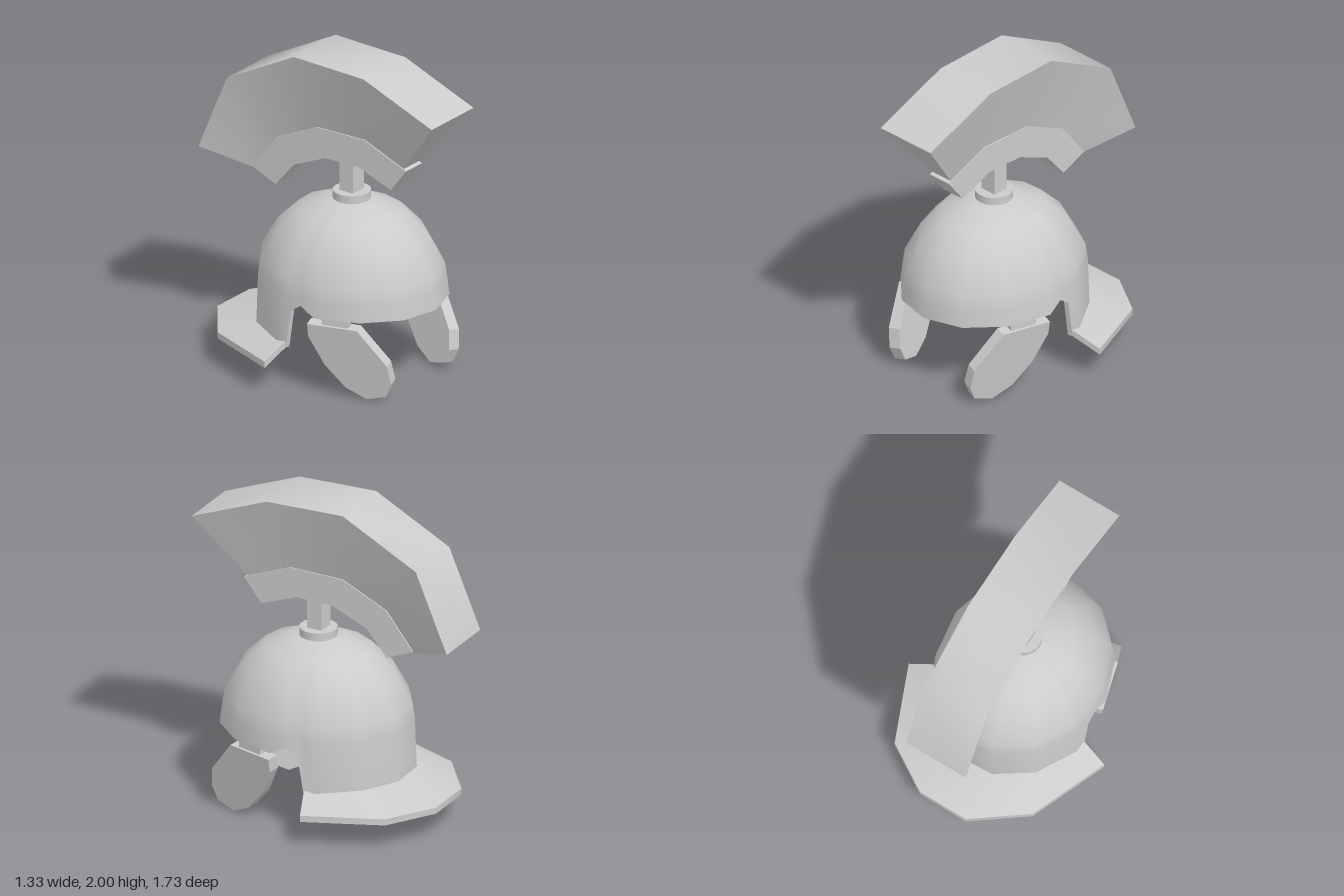
import * as THREE from 'three';
import { toCreasedNormals } from 'three/addons/utils/BufferGeometryUtils.js';

const material = new THREE.MeshStandardMaterial({ color: 0xcccccc });
const SIDES = 13, CZ = 0.12;

// Skins a row of equal cross-section loops; joins the ends (ring) or caps them.
function loft(sections, ring = false) {
  const n = sections[0].length, m = sections.length;
  const pts = sections.flat(), index = [];
  for (let i = 0; i < (ring ? m : m - 1); i++) {
    for (let j = 0; j < n; j++) {
      const a = i * n + j, b = i * n + (j + 1) % n;
      const c = ((i + 1) % m) * n + (j + 1) % n, d = ((i + 1) % m) * n + j;
      index.push(a, b, c, a, c, d);
    }
  }
  if (!ring) {
    const e = (m - 1) * n;
    for (let j = 1; j < n - 1; j++) index.push(0, j + 1, j, e, e + j, e + j + 1);
  }
  // Turn the faces outward if the enclosed volume comes out negative
  let volume = 0;
  const v = pts.map(p => new THREE.Vector3(...p));
  for (let i = 0; i < index.length; i += 3) {
    volume += v[index[i]].dot(v[index[i + 1]].clone().cross(v[index[i + 2]]));
  }
  if (volume < 0) index.reverse();
  const g = new THREE.BufferGeometry();
  g.setAttribute('position', new THREE.Float32BufferAttribute(pts.flat(), 3));
  g.setIndex(index);
  return toCreasedNormals(g, 0.72);
}

// Point on the 13-sided oval plan; k may lie between two corners.
function plan(k) {
  const corner = i => {
    const a = 0.08 + i * Math.PI * 2 / SIDES;
    return [0.525 * Math.cos(a), 0.61 * Math.sin(a)];
  };
  const i = Math.floor(k), t = k - i, p = corner(i), q = corner(i + 1);
  return [p[0] + (q[0] - p[0]) * t, p[1] + (q[1] - p[1]) * t];
}

function createDome() {
  // Columns around the bowl: [plan position, height of the lower edge]
  const columns = [];
  for (let k = 0; k <= 6; k++) columns.push([k, 0.51]);
  columns.push([6.36, 0.56], [6.61, 0.51], [6.75, 0.26]);
  for (let k = 7; k <= 12; k++) columns.push([k, 0.26]);
  columns.push([12.25, 0.26], [12.39, 0.51], [12.64, 0.56]);
  const rows = [[0.61, 0.98], [0.71, 0.955], [0.89, 0.785], [1.02, 0.565], [1.09, 0.27], [1.11, 0.001]];
  const sections = columns.map(([k, base]) => {
    const [x, z] = plan(k);
    const at = (y, f) => [x * f, y, CZ + z * f];
    const foot = base > 0.52 ? 0.99 : 1;
    const outer = [[base, foot], ...rows].map(([y, f]) => at(y, f));
    const inner = rows.map(([y, f]) => at(y - 0.03 * (1 - f), f * 0.94)).reverse();
    return [...outer, ...inner, at(base, foot * 0.94)];
  });
  return loft(sections, true);
}

function createNeckGuard() {
  const inner = [6.75, 8, 9, 10, 11, 12.25];
  const outer = [[-0.665, -0.035], [-0.47, -0.525], [-0.15, -0.765], [0.17, -0.765], [0.465, -0.58], [0.66, -0.11]];
  return loft(outer.map(([ox, oz], i) => {
    const [x, z] = plan(inner[i]);
    return [[x, 0.3, CZ + z], [ox, 0.215, oz], [ox, 0.175, oz], [x, 0.26, CZ + z]];
  }));
}

// Arched band in the z-y plane with its own half width above and below
function arch(top, bottom, wTop, wBottom) {
  return loft(top.map(([z, y], i) => {
    const [bz, by] = bottom[i];
    return [[wTop, y, z], [-wTop, y, z], [-wBottom, by, bz], [wBottom, by, bz]];
  }));
}

// Leaning plate whose front and lower edges turn inward
function createCheekGuard(side) {
  const outline = [[0.48, 0.465], [0.175, 0.465], [0.175, 0.38], [0.26, 0.2], [0.375, 0.065],
    [0.5, 0.005], [0.62, 0.04], [0.66, 0.13], [0.645, 0.25]];
  const shape = new THREE.Shape(outline.map(p => new THREE.Vector2(...p)));
  const g = new THREE.ExtrudeGeometry(shape, { depth: 1, bevelEnabled: false });
  const p = g.attributes.position;
  for (let i = 0; i < p.count; i++) {
    const z = p.getX(i), y = p.getY(i);
    const t = side > 0 ? p.getZ(i) : 1 - p.getZ(i);
    const x = 0.525 - 0.28 * (z - 0.175) + 0.15 * (y - 0.465) - 0.07 * t;
    p.setXYZ(i, side * x, y + 0.01 * t, z - 0.02 * t);
  }
  g.deleteAttribute('normal');
  return toCreasedNormals(g, 0.4);
}

export function createModel() {
  const model = new THREE.Group();
  model.name = 'crestedHelmet';
  const add = (name, geometry, x = 0, y = 0, z = 0) => {
    const mesh = new THREE.Mesh(geometry, material);
    mesh.name = name;
    mesh.position.set(x, y, z);
    model.add(mesh);
    return mesh;
  };

  add('dome', createDome());
  add('neckGuard', createNeckGuard());

  // Crest mount
  add('crestBase', new THREE.CylinderGeometry(0.115, 0.115, 0.05, 20), 0, 1.12, CZ);
  add('crestPost', new THREE.BoxGeometry(0.11, 0.26, 0.1), 0, 1.25, CZ);

  // Crest holder and the flaring plume above it
  const seam = [[0.58, 1.4], [0.27, 1.525], [-0.08, 1.52], [-0.38, 1.38], [-0.56, 1.15]];
  const under = [[0.465, 1.25], [0.23, 1.34], [-0.02, 1.335], [-0.25, 1.235], [-0.385, 1.075]];
  const crown = [[0.865, 1.785], [0.36, 1.985], [-0.155, 2], [-0.65, 1.74], [-0.86, 1.245]];
  const plumeFoot = seam.map(([z, y], i) => i ? [z, y - 0.01] : [0.55, 1.4]);
  add('crestHolder', arch(seam, under, 0.08, 0.08));
  add('plume', arch(crown, plumeFoot, 0.21, 0.07));

  // Cheek guards and the straps that hang them from the rim
  for (const side of [1, -1]) {
    const label = side > 0 ? 'left' : 'right';
    add(label + 'CheekGuard', createCheekGuard(side));
    const strap = add(label + 'CheekStrap', new THREE.BoxGeometry(0.05, 0.1, 0.17), side * 0.44, 0.49, 0.33);
    strap.rotation.y = -side * 0.27;
  }
  return model;
}
